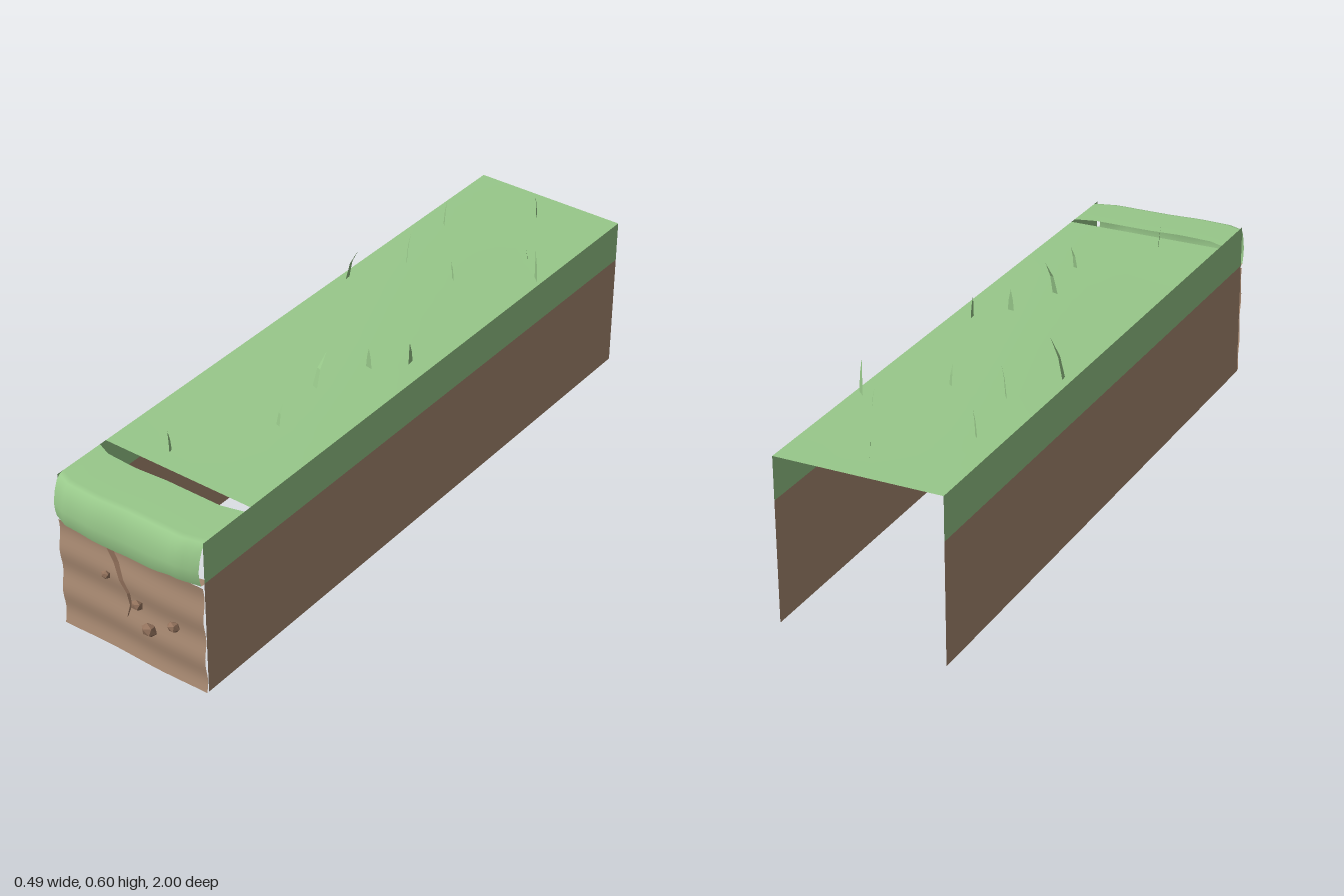
import * as THREE from 'three';

const mat = (name, color) => {
  const m = new THREE.MeshStandardMaterial({ color, side: THREE.DoubleSide });
  m.name = name;
  return m;
};

// Linear interpolation through [x, value] points
function interp(points, x) {
  for (let i = 1; i < points.length; i++) {
    const [x0, v0] = points[i - 1], [x1, v1] = points[i];
    if (x <= x1) return v0 + (v1 - v0) * (x - x0) / (x1 - x0);
  }
  return points[points.length - 1][1];
}

// Smooth sheet from a rule: fn(u, v) gives [x, y, z]
function sheet(cols, rows, fn) {
  const pos = [], idx = [];
  for (let j = 0; j <= rows; j++)
    for (let i = 0; i <= cols; i++) pos.push(...fn(i / cols, j / rows));
  for (let j = 0; j < rows; j++)
    for (let i = 0; i < cols; i++) {
      const a = j * (cols + 1) + i, b = a + 1, c = a + cols + 1, d = c + 1;
      idx.push(a, c, b, b, c, d);
    }
  const g = new THREE.BufferGeometry();
  g.setAttribute('position', new THREE.Float32BufferAttribute(pos, 3));
  g.setIndex(idx);
  g.computeVertexNormals();
  return g;
}

const W = 0.245, TOP = 0.488, SPLIT = 0.36, WALL = 0.955;

// Bent, flat, tapering blade of grass
function bladeGeometry(h, w, angle, leanX, leanZ) {
  const cx = Math.cos(angle) * w / 2, cz = Math.sin(angle) * w / 2;
  const mx = leanX * 0.35, mz = leanZ * 0.35, m = h * 0.55, k = 0.65;
  const pos = [
    -cx, 0, -cz, cx, 0, cz,
    mx - cx * k, m, mz - cz * k, mx + cx * k, m, mz + cz * k,
    leanX, h, leanZ
  ];
  let g = new THREE.BufferGeometry();
  g.setAttribute('position', new THREE.Float32BufferAttribute(pos, 3));
  g.setIndex([0, 1, 3, 0, 3, 2, 2, 3, 4]);
  g = g.toNonIndexed();
  g.computeVertexNormals();
  return g;
}

export function createModel() {
  const root = new THREE.Group();
  root.name = 'grassyBlock';
  const green = mat('grass green', 0x98c88a);
  const brown = mat('earth brown', 0xaa8b73);
  const dark = mat('stone brown', 0x94735d);
  const add = (name, geo, m, parent = root) => {
    const mesh = new THREE.Mesh(geo, m);
    mesh.name = name;
    parent.add(mesh);
    return mesh;
  };

  // Side walls: earth below, turf band above
  for (const s of [1, -1]) {
    const side = s > 0 ? 'left' : 'right';
    const band = (name, y0, y1, m) => {
      const p = add(name, new THREE.PlaneGeometry(WALL + 1, y1 - y0), m);
      p.rotation.y = s * Math.PI / 2;
      p.position.set(s * W, (y0 + y1) / 2, (WALL - 1) / 2);
    };
    band(side + 'EarthWall', 0, SPLIT, brown);
    band(side + 'TurfBand', SPLIT, TOP, green);
  }

  // Turf top, with a very slight swell
  add('turfTop', sheet(6, 16, (u, v) => [
    -W + 2 * W * u,
    TOP + 0.004 * Math.sin(Math.PI * u) * Math.sin(Math.PI * v) ** 2,
    -1 + 1.765 * v
  ]), green);

  // Overhanging turf lip
  const wave = [[-W, -0.024], [-0.2, -0.005], [-0.1, 0], [0, -0.007], [0.18, -0.007], [W, -0.024]];
  const hem = [[-W, 0.361], [-0.15, 0.362], [-0.03, 0.355], [0.1, 0.355], [0.16, 0.365], [W, 0.36]];
  const profile = [[0.812, 0.488], [0.955, 0.488], [0.97, 0.484], [0.983, 0.472], [0.993, 0.445], [1.0, 0.41], [0.997, 0.38], [0.992, 0.362]];
  const last = profile.length - 1;
  add('turfLip', sheet(22, last, (u, v) => {
    const x = -W + 2 * W * u, [z, y] = profile[Math.round(v * last)];
    const fall = (TOP - y) / (TOP - profile[last][1]);
    return [x, TOP - fall * (TOP - interp(hem, x)), z + interp(wave, x)];
  }), green);

  // Earth under the lip
  add('lipUnderside', sheet(22, 1, (u, v) => {
    const x = -W + 2 * W * u;
    return [x, interp(hem, x) - 0.004 * v, 0.992 - 0.032 * v + interp(wave, x)];
  }), brown);

  // Rippled front face
  const frontZ = (x, y) => 0.963 + 0.004 * Math.sin((y - 0.11) * 2 * Math.PI / 0.135 + Math.PI / 2 + x * 0.8)
    + 0.002 * Math.sin(x * 18);
  add('frontEarthFace', sheet(16, 24, (u, v) => {
    const x = -W + 2 * W * u, y = 0.348 * (1 - v);
    return [x, y, frontZ(x, y)];
  }), brown);

  // Root: tapering ridge with a raised middle
  const path = [[-0.074, 0.338, 0.011], [-0.053, 0.298, 0.01], [-0.032, 0.25, 0.008], [-0.012, 0.213, 0.006], [-0.008, 0.172, 0.004], [-0.017, 0.132, 0.001]];
  const rootGeo = sheet(2, path.length - 1, (u, v) => {
    const [x, y, r] = path[Math.round(v * (path.length - 1))];
    const px = x + (u * 2 - 1) * r;
    return [px, y, frontZ(px, y) + (u === 0.5 ? r * 0.8 + 0.002 : 0.001)];
  }).toNonIndexed();
  rootGeo.computeVertexNormals();
  add('root', rootGeo, dark);

  // Embedded stones: [x, y, radius]
  const stones = new THREE.Group();
  stones.name = 'stones';
  root.add(stones);
  [[-0.08, 0.246, 0.014], [0.025, 0.194, 0.018], [0.063, 0.13, 0.024], [0.148, 0.182, 0.019]].forEach(([x, y, r], i) => {
    const s = add('stone', new THREE.IcosahedronGeometry(r, 0), dark, stones);
    s.material.flatShading = true;
    s.position.set(x, y, 0.973);
    s.rotation.set(0.36 + i * 0.1, 0, Math.PI / 2 + i * 0.15);
    s.scale.z = 0.8;
  });

  // Grass blades: [x, z, height, width, turn, leanX, leanZ]
  const blades = new THREE.Group();
  blades.name = 'grassBlades';
  root.add(blades);
  [
    [-0.22, -0.265, 0.11, 0.022, 1.45, 0.042, 0.005],
    [-0.17, -0.68, 0.085, 0.017, 0.8, 0.007, -0.005],
    [-0.135, -0.44, 0.103, 0.018, 0.9, 0.012, -0.005],
    [-0.076, 0.7, 0.065, 0.015, 1.3, -0.005, 0.004],
    [0.024, -0.89, 0.07, 0.02, 1.1, -0.002, 0.008],
    [0.031, -0.44, 0.066, 0.016, 0.6, -0.006, 0.004],
    [0.048, 0.24, 0.107, 0.02, 0.3, 0.015, -0.035],
    [0.078, 0.44, 0.071, 0.015, 0.3, 0.01, -0.012],
    [0.109, 0.075, 0.066, 0.021, 0.1, 0, 0],
    [0.158, -0.64, 0.055, 0.013, 1.0, -0.007, 0.003],
    [0.186, -0.015, 0.066, 0.022, 1.5, -0.002, 0.002],
    [0.223, -0.585, 0.102, 0.03, 0.75, -0.003, 0.004]
  ].forEach(([x, z, ...shape]) => {
    add('grassBlade', bladeGeometry(...shape), green, blades).position.set(x, TOP, z);
  });

  return root;
}
